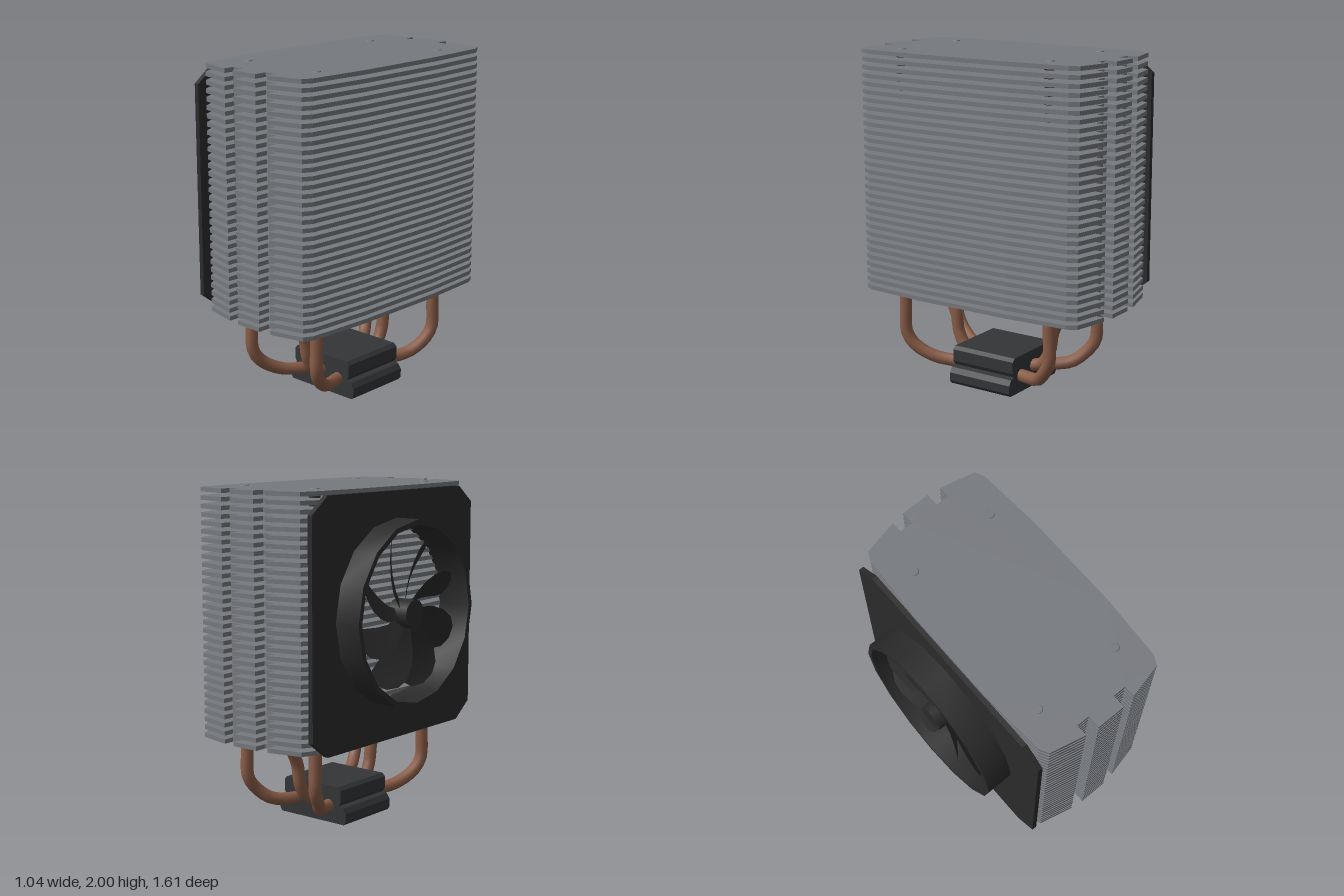
import * as THREE from 'three';
import { toCreasedNormals } from 'three/addons/utils/BufferGeometryUtils.js';

const FAN_Y = 1.272;
const V2 = (a) => a.map(([x, y]) => new THREE.Vector2(x, y));

export function createModel() {
  const model = new THREE.Group();
  const mat = (name, color, side = THREE.FrontSide) => {
    const m = new THREE.MeshStandardMaterial({ color, side });
    m.name = name;
    return m;
  };
  const finGrey = mat('finGrey', 0x76797e);
  const copper = mat('copper', 0x8a5d48);
  const darkMetal = mat('darkMetal', 0x333537);
  const fanBlack = mat('fanBlack', 0x2b2b2b, THREE.DoubleSide);
  const add = (name, geo, material, x = 0, y = 0, z = 0, parent = model) => {
    const mesh = new THREE.Mesh(geo, material);
    mesh.name = name;
    mesh.position.set(x, y, z);
    parent.add(mesh);
    return mesh;
  };

  // Fin stack: one quarter outline mirrored about x = 0.09 and z = 0
  const quarter = [[0.425, 0.3], [0.4, 0.69], [0.372, 0.745], [0.165, 0.793],
    [0.165, 0.725], [0.087, 0.725], [0.087, 0.803]];
  const back = [...quarter].reverse();
  const outline = [
    ...quarter,
    ...back.map(([x, z]) => [-x, z]),
    ...quarter.map(([x, z]) => [-x, -z]),
    ...back.map(([x, z]) => [x, -z]),
  ].map(([x, z]) => [x + 0.09, z]);
  const finGeo = new THREE.ExtrudeGeometry(new THREE.Shape(V2(outline)),
    { depth: 0.025, bevelEnabled: false });
  finGeo.rotateX(Math.PI / 2);
  const fins = new THREE.Group();
  fins.name = 'finStack';
  model.add(fins);
  for (let i = 0; i < 31; i++) add('fin', finGeo, finGrey, 0, 1.995 - i * 0.0475, 0, fins);

  // Heat pipes: four outer ones through the fins, two short middle ones
  const tube = (pts) => new THREE.TubeGeometry(
    new THREE.CatmullRomCurve3(pts.map((p) => new THREE.Vector3(...p))), 18, 0.038, 10);
  for (const s of [1, -1]) {
    const zo = s > 0 ? 0.53 : 0.495;
    for (const t of [1, -1]) {
      const X = (d) => 0.095 + t * d;
      add('outerHeatPipe', tube([
        [X(0.265), 0.57, s * zo], [X(0.265), 0.42, s * (zo + 0.003)],
        [X(0.262), 0.27, s * zo], [X(0.24), 0.19, s * (zo - 0.05)],
        [X(0.19), 0.125, s * 0.37], [X(0.14), 0.105, s * 0.25], [X(0.12), 0.105, s * 0.15],
      ]), copper);
      add('pipeInFins', new THREE.CylinderGeometry(0.033, 0.033, 1.43, 10),
        darkMetal, X(0.265), 1.27, s * (zo - 0.003));
      add('pipeCap', new THREE.CylinderGeometry(0.024, 0.033, 0.016, 10),
        finGrey, X(0.265), 1.992, s * (zo - 0.003));
    }
    add('middleHeatPipe', tube([
      [0.09, 0.57, s * 0.45], [0.09, 0.47, s * 0.41], [0.09, 0.36, s * 0.355],
      [0.09, 0.23, s * 0.33], [0.09, 0.15, s * 0.28], [0.09, 0.115, s * 0.15],
    ]), copper);
  }

  // Base block with a wider foot
  const half = [[0.242, 0], [0.257, 0.02], [0.257, 0.07], [0.235, 0.1], [0.205, 0.11],
    [0.22, 0.135], [0.22, 0.205], [0.2, 0.225]];
  const profile = [...half, ...[...half].reverse().map(([x, y]) => [-x, y])];
  const baseGeo = new THREE.ExtrudeGeometry(new THREE.Shape(V2(profile)),
    { depth: 0.43, bevelEnabled: false });
  add('baseBlock', baseGeo, darkMetal, 0.093, 0, -0.217);

  // Fan frame plate with clipped corners and a round opening
  const fan = new THREE.Group();
  fan.name = 'fan';
  fan.position.y = FAN_Y;
  model.add(fan);
  const w = 0.75, b = -0.745, t = 0.7, cz = 0.13, cy = 0.1;
  const plate = new THREE.Shape(V2([[-w, b + cy], [-w + cz, b], [w - cz, b], [w, b + cy],
    [w, t - cy], [w - cz, t], [-w + cz, t], [-w, t - cy]]));
  const ringPoints = [];
  for (let i = 0; i < 16; i++) {
    const a = -i * Math.PI / 8;
    ringPoints.push([0.51 * Math.cos(a), 0.51 * Math.sin(a)]);
  }
  plate.holes.push(new THREE.Path(V2(ringPoints)));
  const plateGeo = new THREE.ExtrudeGeometry(plate, { depth: 0.03, bevelEnabled: false });
  plateGeo.rotateY(-Math.PI / 2);
  add('fanFrame', plateGeo, fanBlack, -0.333, 0, 0.007, fan);

  // Shroud ring around the blades, flared towards the fins
  const ring = new THREE.LatheGeometry(V2([[0.58, 0.335], [0.545, 0.345], [0.545, 0.523],
    [0.515, 0.523], [0.502, 0.318], [0.58, 0.335]]), 16);
  ring.rotateZ(Math.PI / 2);
  add('fanShroud', toCreasedNormals(ring, 0.5), fanBlack, 0, 0, 0, fan);

  // Hub and axle
  const hub = new THREE.CylinderGeometry(0.085, 0.085, 0.13, 12);
  hub.rotateZ(Math.PI / 2);
  add('fanHub', hub, fanBlack, -0.435, 0, 0, fan);
  const axle = new THREE.CylinderGeometry(0.008, 0.008, 0.2, 8);
  axle.rotateZ(Math.PI / 2);
  add('fanAxle', axle, fanBlack, -0.34, -0.01, 0, fan);

  // Swept blades: strips across rising radii, pitched along the axle
  const rows = [[0.06, 0.03], [0.14, 0.04], [0.22, 0.065], [0.3, 0.085], [0.38, 0.092],
    [0.43, 0.075], [0.46, 0.03]];
  const pos = [], index = [];
  rows.forEach(([r, hw], i) => {
    const a = 0.5 * (r - 0.06) / 0.4;
    for (let j = 0; j < 4; j++) {
      const k = (j / 3) * 2 - 1;
      const ang = a + k * hw / r;
      pos.push(-0.43 + k * hw * 0.65, r * Math.sin(ang), -r * Math.cos(ang));
      if (i && j) {
        const n = i * 4 + j;
        index.push(n - 5, n - 4, n, n - 5, n, n - 1);
      }
    }
  });
  const bladeGeo = new THREE.BufferGeometry();
  bladeGeo.setAttribute('position', new THREE.Float32BufferAttribute(pos, 3));
  bladeGeo.setIndex(index);
  bladeGeo.computeVertexNormals();
  for (let i = 0; i < 8; i++) {
    add('fanBlade', bladeGeo, fanBlack, 0, 0, 0, fan).rotation.x = i * Math.PI / 4;
  }
  return model;
}
